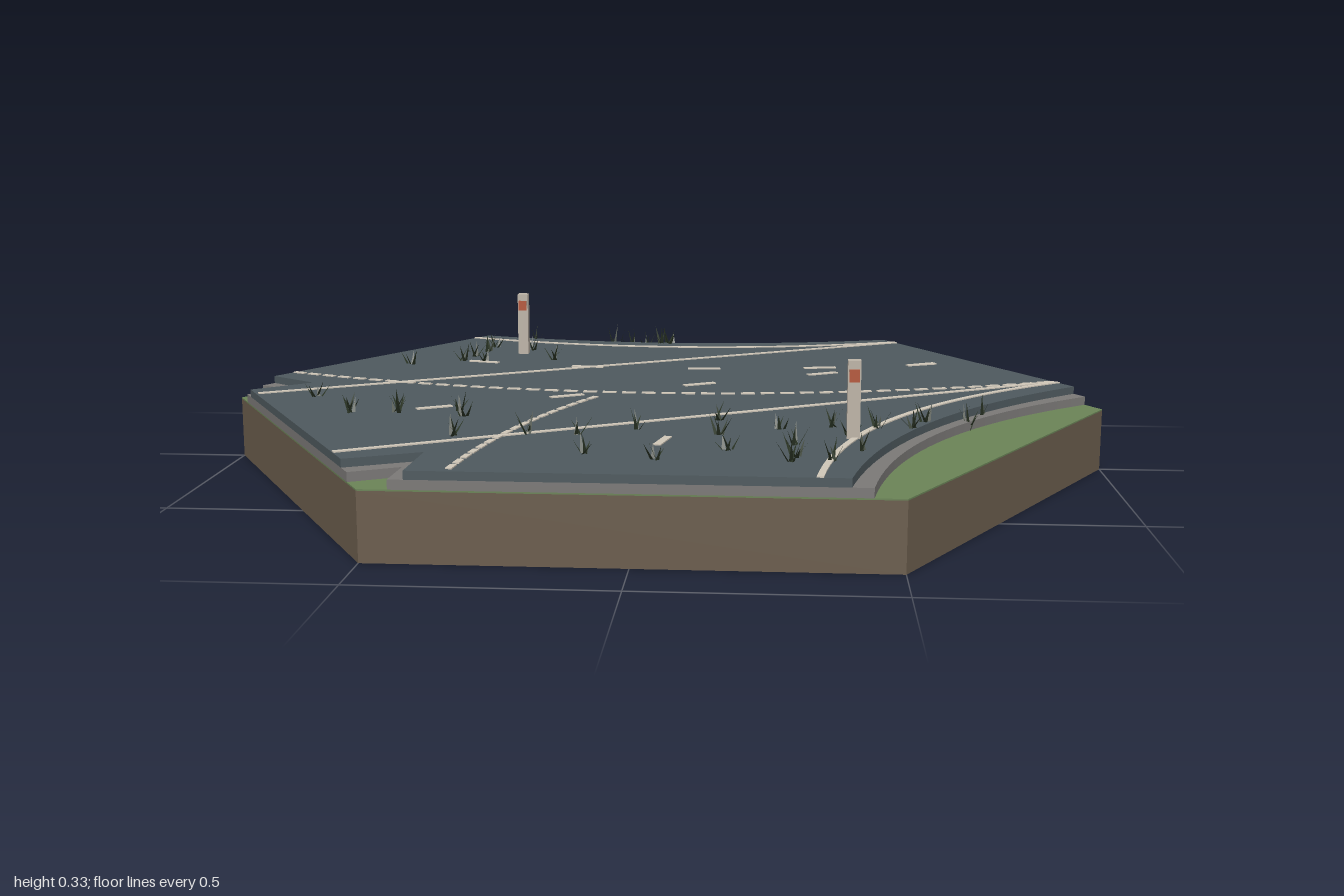
import * as THREE from 'three';
import { mergeGeometries } from 'three/addons/utils/BufferGeometryUtils.js';

const GRASS_Y = 0.14, GRAVEL_Y = 0.159, ROAD_Y = 0.176;
const S3 = Math.sqrt(3);

const mat = (color, side = THREE.FrontSide) =>
  new THREE.MeshStandardMaterial({ color, flatShading: true, side });

const V = (x, z) => new THREE.Vector2(x, z);

// Turn a ground point by 120 degrees about the tile centre
const turn = (p) => V(-0.5 * p.x - S3 / 2 * p.y, S3 / 2 * p.x - 0.5 * p.y);

// Shallow symmetric bow: ends at (+-x, zEnd), middle at (0, zMid)
function bow(x, zEnd, zMid, turned = false) {
  let pts = [V(-x, zEnd), V(0, 2 * zMid - zEnd), V(x, zEnd)];
  if (turned) pts = pts.map(turn);
  return new THREE.QuadraticBezierCurve(...pts);
}

// Flat plate with ground outline (x, z) between two heights
function slab(outline, y0, y1) {
  const shape = new THREE.Shape(outline.map((p) => V(p.x, -p.y)));
  const g = new THREE.ExtrudeGeometry(shape, { depth: y1 - y0, bevelEnabled: false });
  return g.rotateX(-Math.PI / 2).translate(0, y0, 0);
}

// Road outline: two bowed verges and two corner notches cut from the hexagon
function roadOutline(x, zMid, cornerX, notchX, corner) {
  const zEnd = -S3 * (1 - x), cz = S3 * (1 - cornerX);
  return [
    ...bow(x, zEnd, zMid).getPoints(24),
    ...bow(x, zEnd, zMid, true).getPoints(24),
    V(corner.x, 0.866), V(corner.x + 0.005, corner.z), V(-x, -zEnd),
    V(-cornerX, cz), V(notchX, -0.01), V(-cornerX, -cz),
  ];
}

// Painted stripe between two ground points
function stripe(a, b, width = 0.013) {
  const g = new THREE.BoxGeometry(a.distanceTo(b), 0.003, width);
  return g.rotateY(-Math.atan2(b.y - a.y, b.x - a.x))
    .translate((a.x + b.x) / 2, ROAD_Y + 0.001, (a.y + b.y) / 2);
}

function solidLine(curve, n) {
  const p = curve.getSpacedPoints(n);
  return p.slice(1).map((q, i) => stripe(p[i], q));
}

function dashedLine(curve, from = 0) {
  const n = Math.round(curve.getLength() / 0.045), out = [];
  for (let i = 0; i < n; i++) {
    const u = i / n;
    if (u >= from) out.push(stripe(curve.getPointAt(u), curve.getPointAt(u + 0.7 / n)));
  }
  return out;
}

function seeded(seed) {
  return () => (seed = (seed * 16807) % 2147483647) / 2147483647;
}

// Tuft of thin pointed blades leaning outwards
function tuft(x, y, z, rand) {
  const blades = [];
  const start = rand() * 6.28;
  for (let i = 0; i < 5; i++) {
    const h = 0.025 + rand() * 0.025, w = 0.005;
    const lean = 0.012 + rand() * 0.018;
    const g = new THREE.BufferGeometry();
    g.setAttribute('position', new THREE.Float32BufferAttribute(
      [-w, 0, 0, w, 0, 0, 0, h, lean], 3));
    g.computeVertexNormals();
    blades.push(g.rotateY(start + i * 1.257 + rand() * 0.5)
      .translate(x + (rand() - 0.5) * 0.015, y, z + (rand() - 0.5) * 0.015));
  }
  return mergeGeometries(blades);
}

export function createModel() {
  const model = new THREE.Group();
  const add = (name, geometry, material, parent = model) => {
    const m = new THREE.Mesh(geometry, material);
    m.name = name;
    parent.add(m);
    return m;
  };

  // Hexagonal ground
  const hex = [];
  for (let i = 0; i < 6; i++) hex.push(V(Math.cos(i * Math.PI / 3), Math.sin(i * Math.PI / 3)));
  add('earthBase', slab(hex, 0, GRASS_Y - 0.003), mat(0x6b5d4d));
  add('grassTop', slab(hex, GRASS_Y - 0.003, GRASS_Y), mat(0x6b8457));
  const patch = [V(0, -0.866), V(0.25, -0.866), V(0.35, -0.7), V(0.1, -0.69)];
  add('lightGrassPatch', slab(patch, GRASS_Y, GRASS_Y + 0.002), mat(0x889d6c));

  // Gravel bed and asphalt on top of it
  add('gravelBed', slab(roadOutline(0.53, -0.708, 0.967, -0.882, { x: -0.442, z: 0.765 }),
    GRASS_Y, GRAVEL_Y), mat(0x7b7977));
  add('asphalt', slab(roadOutline(0.55, -0.682, 0.948, -0.83, { x: -0.412, z: 0.71 }),
    GRAVEL_Y, ROAD_Y), mat(0x4e595e));

  // Road markings
  const paint = mat(0xd0c7b9);
  const edgeLines = [
    stripe(V(-0.58, 0.725), V(0.913, -0.14)),
    stripe(V(-0.913, 0.14), V(0.58, -0.725)),
    ...solidLine(bow(0.578, -0.73, -0.604), 24),
    ...solidLine(bow(0.578, -0.73, -0.604, true), 24),
  ];
  add('edgeLines', mergeGeometries(edgeLines), paint);
  add('dashedLines', mergeGeometries([
    ...dashedLine(bow(0.913, -0.143, 0.07)),
    ...dashedLine(bow(0.913, -0.143, 0.07, true), 0.585),
  ]), paint);

  // Centre dashes: x, z, heading in degrees
  const dashes = [
    [-0.48, 0.275, -30], [-0.21, 0.12, -30], [0.08, -0.05, -30], [0.37, -0.215, -30], [0.62, -0.37, -30],
    [-0.48, -0.33, 15], [-0.21, -0.275, 5], [0.08, -0.268, -3], [0.365, -0.3, -12], [0.62, -0.365, -25],
    [0.04, 0.58, -78],
  ];
  add('centreDashes', mergeGeometries(dashes.map(([x, z, deg]) => {
    const d = V(0.04, 0).rotateAround(V(0, 0), deg * Math.PI / 180);
    return stripe(V(x, z).sub(d), V(x, z).add(d), 0.016);
  })), paint);

  // Marker posts with a reflector on the front
  for (const [x, z] of [[-0.402, -0.48], [0.415, 0.518]]) {
    const post = new THREE.Group();
    post.name = 'markerPost';
    post.position.set(x, 0, z);
    add('post', new THREE.BoxGeometry(0.026, 0.17, 0.026).translate(0, 0.247, 0), mat(0xbdb4a7), post);
    add('reflector', new THREE.BoxGeometry(0.02, 0.025, 0.006).translate(0, 0.303, 0.015), mat(0xb5573a), post);
    model.add(post);
  }

  // Weeds on the verges: x, z
  const onGrass = [[-0.19, -0.77], [-0.1, -0.77], [-0.05, -0.785], [-0.41, -0.745], [-0.15, -0.78],
    [0.67, 0.25], [0.71, 0.17]];
  const onRoad = [
    [-0.03, -0.67], [-0.06, -0.67], [-0.49, -0.57], [-0.5, -0.5], [-0.52, -0.42], [-0.39, -0.53],
    [-0.31, -0.38], [-0.66, -0.29], [-0.54, -0.35], [-0.48, -0.34], [-0.77, 0.16], [-0.66, 0.29],
    [-0.65, 0.34], [-0.55, 0.29], [-0.42, 0.3], [-0.4, 0.36], [-0.55, 0.33], [-0.38, 0.56],
    [-0.24, 0.53], [-0.13, 0.53], [-0.02, 0.47], [-0.1, 0.7], [0.04, 0.74], [0.17, 0.65],
    [0.15, 0.51], [0.14, 0.37], [0.27, 0.45], [0.38, 0.42], [0.3, 0.59], [0.3, 0.7],
    [0.41, 0.5], [0.43, 0.64], [0.37, 0.73], [0.47, 0.42], [0.54, 0.42], [0.57, 0.35], [0.29, 0.74],
  ];
  const rand = seeded(77);
  add('weeds', mergeGeometries([
    ...onGrass.map(([x, z]) => tuft(x, GRASS_Y, z, rand).translate(0, -GRASS_Y, 0)
      .scale(1, 1.4, 1).translate(0, GRASS_Y, 0)),
    ...onRoad.map(([x, z]) => tuft(x, ROAD_Y - 0.004, z, rand)),
  ]), mat(0x2c3626, THREE.DoubleSide));

  return model;
}
